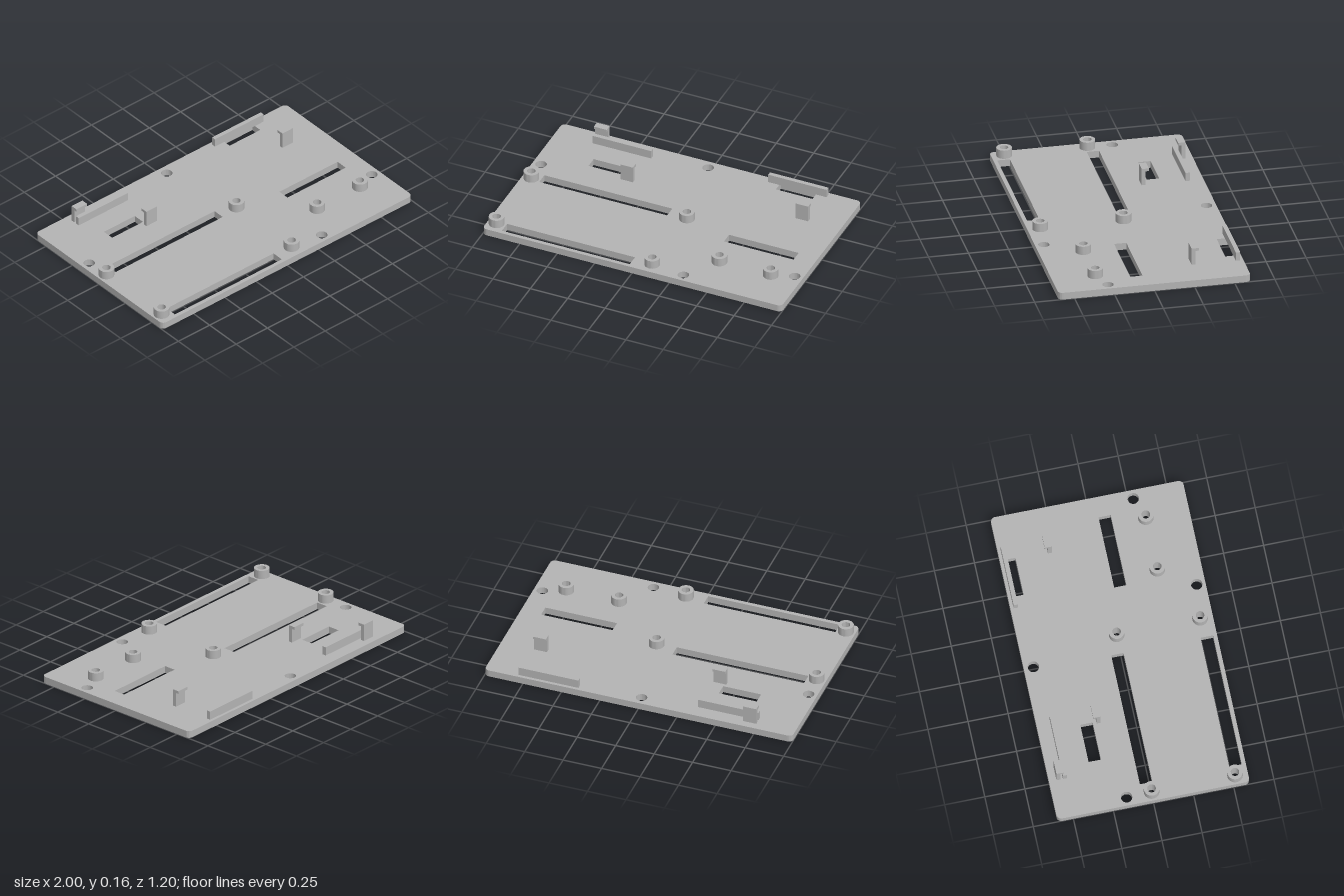
import * as THREE from 'three';
import { toCreasedNormals } from 'three/addons/utils/BufferGeometryUtils.js';

const PLATE_H = 0.045, POST_TOP = 0.1, CLIP_TOP = 0.155;
const HOLE_R = 0.035, BORE_R = 0.026, POST_R = 0.048;

// Standoff and screw hole centres as [x, z]
const posts = [[-0.94, 0], [0.1, 0], [-0.94, 0.52], [0.1, 0.52], [0.465, 0.33], [0.808, 0.33]];
const screwHoles = [[0, -0.54], [-0.945, -0.157], [0.945, 0.28], [0.32, 0.545]];
// Slots as [x0, x1, z0, z1]
const slots = [
  [-0.88, -0.025, -0.06, 0.017],
  [-0.88, -0.025, 0.497, 0.575],
  [0.403, 0.868, 0.048, 0.124],
  [-0.674, -0.428, -0.337, -0.26],
  [0.47, 0.715, -0.577, -0.502],
];

function circlePath(x, y, r) {
  return new THREE.Path().absarc(x, y, r, 0, Math.PI * 2, true);
}

// Extrude a plan shape (shape y = -z) upward from y0 to y1
function extrudeUp(shape, y0, y1) {
  const g = new THREE.ExtrudeGeometry(shape, { depth: y1 - y0, bevelEnabled: false, curveSegments: 20 });
  g.rotateX(-Math.PI / 2).translate(0, y0, 0);
  return toCreasedNormals(g, 0.6);
}

function plateShape() {
  const w = 1, d = 0.6, r = 0.03, q = Math.PI / 2;
  const s = new THREE.Shape();
  s.absarc(w - r, d - r, r, 0, q);
  s.absarc(-w + r, d - r, r, q, 2 * q);
  s.absarc(-w + r, -d + r, r, 2 * q, 3 * q);
  s.absarc(w - r, -d + r, r, 3 * q, 4 * q);
  s.closePath();
  for (const [x0, x1, z0, z1] of slots) {
    s.holes.push(new THREE.Path([
      new THREE.Vector2(x0, -z0), new THREE.Vector2(x1, -z0),
      new THREE.Vector2(x1, -z1), new THREE.Vector2(x0, -z1),
    ]).closePath());
  }
  for (const [x, z] of screwHoles) s.holes.push(circlePath(x, -z, HOLE_R));
  for (const [x, z] of posts) s.holes.push(circlePath(x, -z, BORE_R));
  return s;
}

export function createModel() {
  const model = new THREE.Group();
  model.name = 'mountingPlate';
  const grey = new THREE.MeshStandardMaterial({ color: 0xb3b3b3 });
  grey.name = 'grey plastic';

  const add = (name, geometry) => {
    const mesh = new THREE.Mesh(geometry, grey);
    mesh.name = name;
    model.add(mesh);
    return mesh;
  };

  // Base plate with slots, screw holes and standoff bores
  add('basePlate', extrudeUp(plateShape(), 0, PLATE_H));

  // Hollow standoffs
  for (const [x, z] of posts) {
    const ring = new THREE.Shape().absarc(0, 0, POST_R, 0, Math.PI * 2);
    ring.holes.push(circlePath(0, 0, BORE_R));
    add('standoff', extrudeUp(ring, PLATE_H, POST_TOP)).position.set(x, 0, z);
  }

  // Low locating rails
  for (const [x0, x1, z0, z1] of [[-0.75, -0.357, -0.513, -0.486], [0.396, 0.786, -0.58, -0.553]]) {
    const rail = new THREE.BoxGeometry(x1 - x0, POST_TOP - PLATE_H, z1 - z0);
    add('rail', rail).position.set((x0 + x1) / 2, (POST_TOP + PLATE_H) / 2, (z0 + z1) / 2);
  }

  // Snap clips: an L profile in z/y, swept along x; dir is the way the hook points
  const clip = (x0, x1, z, dir) => {
    const stem = 0.025, reach = 0.045, lip = CLIP_TOP - 0.018;
    const profile = [[0, PLATE_H], [stem, PLATE_H], [stem, lip], [reach, lip], [reach, CLIP_TOP], [0, CLIP_TOP]];
    const shape = new THREE.Shape(profile.map(([a, y]) => new THREE.Vector2(-(z + dir * a), y)));
    const g = new THREE.ExtrudeGeometry(shape, { depth: x1 - x0, bevelEnabled: false });
    g.rotateY(Math.PI / 2).translate(x0, 0, 0);
    add('snapClip', g);
  };
  clip(-0.44, -0.357, -0.213, -1);
  clip(0.702, 0.786, -0.277, -1);
  clip(-0.75, -0.664, -0.553, 1);

  return model;
}
